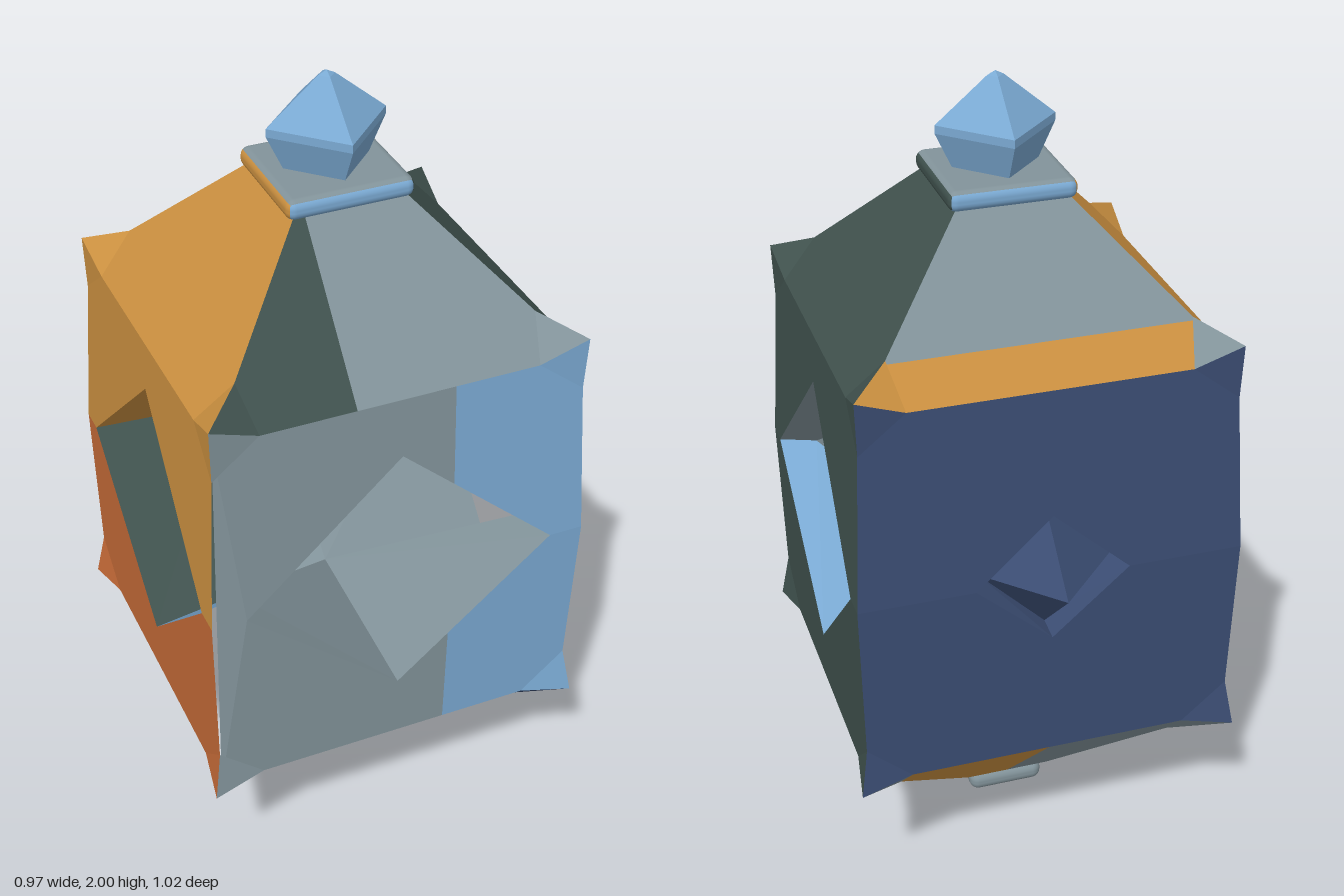
import * as THREE from 'three';
import { RoundedBoxGeometry } from 'three/addons/geometries/RoundedBoxGeometry.js';

const mat = (name, color) => {
  const m = new THREE.MeshStandardMaterial({ color });
  m.name = name;
  return m;
};
const V = (x, y, z) => new THREE.Vector3(x, y, z);

export function createModel() {
  const gray = mat('stone gray', 0x82939a), blue = mat('light blue', 0x7aa9d2);
  const navy = mat('navy', 0x3b4d73), orange = mat('ochre', 0xcb9040);
  const rust = mat('rust', 0xc76c38), green = mat('dark green', 0x40524e);

  const model = new THREE.Group();
  model.name = 'lantern';
  const body = new THREE.Group();
  body.name = 'lanternBody';
  body.position.z = 0.043;
  model.add(body);

  const add = (name, geometry, material) => {
    const mesh = new THREE.Mesh(geometry, material);
    mesh.name = name;
    body.add(mesh);
    return mesh;
  };
  const faceted = (g) => {
    const flat = g.toNonIndexed();
    flat.computeVertexNormals();
    return flat;
  };

  // Flat polygon, facing away from ref (out = 1) or towards it (out = -1)
  const CY = 0.91;
  const centre = V(0, CY, 0);
  function face(name, material, pts, out = 1, ref = centre) {
    const n = V(0, 0, 0);
    pts.forEach((p, i) => n.add(p.clone().cross(pts[(i + 1) % pts.length])));
    const a = [Math.abs(n.x), Math.abs(n.y), Math.abs(n.z)];
    const drop = a.indexOf(Math.max(...a));
    const flat = pts.map((p) => drop === 0 ? new THREE.Vector2(p.z, p.y)
      : drop === 1 ? new THREE.Vector2(p.x, p.z) : new THREE.Vector2(p.x, p.y));
    const corners = [];
    for (const [i, j, k] of THREE.ShapeUtils.triangulateShape(flat, [])) {
      const [p, q, r] = [pts[i], pts[j], pts[k]];
      const normal = q.clone().sub(p).cross(r.clone().sub(p));
      const middle = p.clone().add(q).add(r).divideScalar(3).sub(ref);
      corners.push(...(normal.dot(middle) * out >= 0 ? [p, q, r] : [p, r, q]));
    }
    const g = new THREE.BufferGeometry().setFromPoints(corners);
    g.computeVertexNormals();
    return add(name, g, material);
  }

  // Gently bulging half width (x) and half depth (z) of the body
  const Y0 = 0.4, Y1 = 1.4;
  const W = (y) => y < CY ? 0.462 + 0.013 * (y - Y0) / (CY - Y0) : 0.475 - 0.025 * (y - CY) / (Y1 - CY);
  const D = (y) => W(y) - 0.02;

  // Front panel, split in two colours beside the diamond opening
  const F = (x, y) => V(x, y, D(y));
  const s = 0.13, fw = 0.39, fh = 0.34, rise = fh * (1 - s / fw);
  face('frontPanelRight', gray, [F(-W(Y0), Y0), F(s, Y0), F(s, CY - rise), F(0, CY - fh), F(-fw, CY),
    F(0, CY + fh), F(s, CY + rise), F(s, Y1), F(-W(Y1), Y1), F(-W(CY), CY)]);
  face('frontPanelLeft', blue, [F(s, Y0), F(W(Y0), Y0), F(W(CY), CY), F(W(Y1), Y1), F(s, Y1),
    F(s, CY + rise), F(fw, CY), F(s, CY - rise)]);

  // Other panels, each as an upper and a lower half around a diamond
  function panel(name, place, half, w, h, upper, lower) {
    for (const [part, m, end, k] of [['Upper', upper, Y1, 1], ['Lower', lower, Y0, -1]]) {
      face(name + part, m, [place(-half(CY), CY), place(-w, CY), place(0, CY + k * h), place(w, CY),
        place(half(CY), CY), place(half(end), end), place(-half(end), end)]);
    }
  }
  const sw = 0.39, sh = 0.368;
  panel('leftPanel', (u, y) => V(W(y), y, u), D, sw, sh, green, green);
  panel('rightPanel', (u, y) => V(-W(y), y, u), D, sw, sh, orange, rust);
  panel('backPanel', (u, y) => V(u, y, -D(y)), W, 0.19, 0.17, navy, navy);

  // Diamond tunnel from side to side, joined by one from the front
  const a = 0.385, b = 0.355, h = 0.298;
  for (const sx of [-1, 1]) for (const sy of [-1, 1]) {
    const ridge = V(0, CY + sy * h, 0);
    const yOut = CY + sy * sh;
    const outRidge = V(sx * W(yOut), yOut, 0);
    const outFront = V(sx * W(CY), CY, sw), outBack = V(sx * W(CY), CY, -sw);
    const backMid = V(0, CY, -b), frontMid = V(sx * a, CY, b);
    const t = sx < 0 && sy < 0 ? 0.28 : 1;
    const r2 = ridge.clone().lerp(outRidge, t), b2 = backMid.clone().lerp(outBack, t);
    face('tunnelBackWall', sy > 0 ? orange : gray, [ridge, backMid, b2, r2], -1);
    if (t < 1) face('tunnelBackWallEnd', green, [r2, b2, outBack, outRidge], -1);
    face('tunnelFrontWall', sy > 0 && sx > 0 ? gray : blue, [ridge, frontMid, outFront, outRidge], -1);
    face('frontOpeningWall', sy > 0 ? orange : gray,
      [F(0, CY + sy * fh), F(sx * fw, CY), frontMid, ridge], -1);
  }

  // Back recess with its spike
  for (const sx of [-1, 1]) for (const sy of [-1, 1]) {
    face('recessWall', navy, [V(0, CY + sy * 0.17, -D(CY + sy * 0.17)), V(sx * 0.19, CY, -D(CY)),
      V(sx * 0.165, CY, -0.385), V(0, CY + sy * 0.16, -0.385)], -1, V(0, CY, -0.6));
  }
  const spike = add('backSpike', faceted(new THREE.ConeGeometry(0.165, 0.173, 4).rotateX(-Math.PI / 2)), navy);
  spike.position.set(0, CY, -0.4715);

  // Sloping roof and underside: frustums with faces split by colour
  const top = { y0: Y1, y1: 1.74, w: 0.13, d: 0.13 };
  const base = { y0: Y0, y1: 0.06, w: 0.11, d: 0.1 };
  const rim = (f, t) => ({
    y: f.y0 + (f.y1 - f.y0) * t,
    w: THREE.MathUtils.lerp(W(f.y0), f.w, t),
    d: THREE.MathUtils.lerp(D(f.y0), f.d, t),
  });
  function endSlope(name, f, k, split, right, left) {
    const p = rim(f, 0), q = rim(f, 1);
    for (const [sx, m] of [[-1, right], [1, left]]) {
      face(name, m, [V(sx * p.w, p.y, k * p.d), V(split, p.y, k * p.d),
        V(split, q.y, k * q.d), V(sx * q.w, q.y, k * q.d)]);
    }
  }
  function sideSlope(name, f, k, m) {
    const p = rim(f, 0), q = rim(f, 1);
    face(name, m, [V(k * p.w, p.y, p.d), V(k * p.w, p.y, -p.d), V(k * q.w, q.y, -q.d), V(k * q.w, q.y, q.d)]);
  }
  endSlope('roofFront', top, 1, -0.11, green, gray);
  sideSlope('roofLeft', top, 1, green);
  sideSlope('roofRight', top, -1, orange);
  for (const [name, t0, t1, m] of [['roofBackEave', 0, 0.25, orange], ['roofBack', 0.25, 1, gray]]) {
    const p = rim(top, t0), q = rim(top, t1);
    face(name, m, [V(-p.w, p.y, -p.d), V(p.w, p.y, -p.d), V(q.w, q.y, -q.d), V(-q.w, q.y, -q.d)]);
  }
  endSlope('undersideFront', base, 1, 0.02, green, orange);
  endSlope('undersideBack', base, -1, 0, gray, orange);
  sideSlope('undersideLeft', base, 1, green);
  sideSlope('undersideRight', base, -1, rust);
  face('undersideCap', orange, [[-1, -1], [1, -1], [1, 1], [-1, 1]].map(([x, z]) => V(x * 0.11, 0.06, z * 0.1)));

  // Pointed horns on the eight corners
  function horn(f, sx, sz, apexY, flare, edgeY, t, wall, side, endRoof, sideRoof) {
    const p = rim(f, 0), q = rim(f, t);
    const at = (x, y, z) => V(sx * x, y, sz * z);
    const apex = at(p.w + flare, apexY, p.d + flare);
    const edge = at(W(edgeY), edgeY, D(edgeY)), hip = at(q.w, q.y, q.d);
    const onEnd = at(p.w - 0.11, p.y, p.d), onSide = at(p.w, p.y, p.d - 0.11);
    const ref = at(p.w - 0.15, p.y, p.d - 0.15);
    face('hornEnd', wall, [apex, edge, onEnd], 1, ref);
    face('hornSide', side, [apex, edge, onSide], 1, ref);
    face('hornEndSlope', endRoof, [apex, hip, onEnd], 1, ref);
    face('hornSideSlope', sideRoof, [apex, hip, onSide], 1, ref);
  }
  const upper = (sx, sz, ...m) => horn(top, sx, sz, 1.445, 0.009, 1.31, 0.27, ...m);
  const lower = (sx, sz, ...m) => horn(base, sx, sz, 0.378, 0.022, 0.5, 0.3, ...m);
  upper(-1, 1, gray, orange, green, orange);
  upper(1, 1, blue, green, gray, green);
  upper(-1, -1, navy, orange, gray, orange);
  upper(1, -1, navy, green, orange, green);
  lower(-1, 1, gray, rust, gray, rust);
  lower(1, 1, blue, green, navy, green);
  lower(-1, -1, navy, rust, gray, rust);
  lower(1, -1, navy, green, gray, green);

  // Collar, finial and foot
  add('collar', new RoundedBoxGeometry(0.31, 0.05, 0.302, 3, 0.022),
    [green, orange, gray, blue, blue, blue]).position.y = 1.752;
  const profile = [[0, 1.77], [0.105, 1.78], [0.145, 1.865], [0.145, 1.885], [0.02, 1.99], [0, 2]]
    .map(([r, y]) => new THREE.Vector2(r, y));
  add('finial', faceted(new THREE.LatheGeometry(profile, 4)), blue);
  add('foot', new RoundedBoxGeometry(0.2, 0.055, 0.195, 3, 0.025), gray).position.y = 0.0285;

  return model;
}
